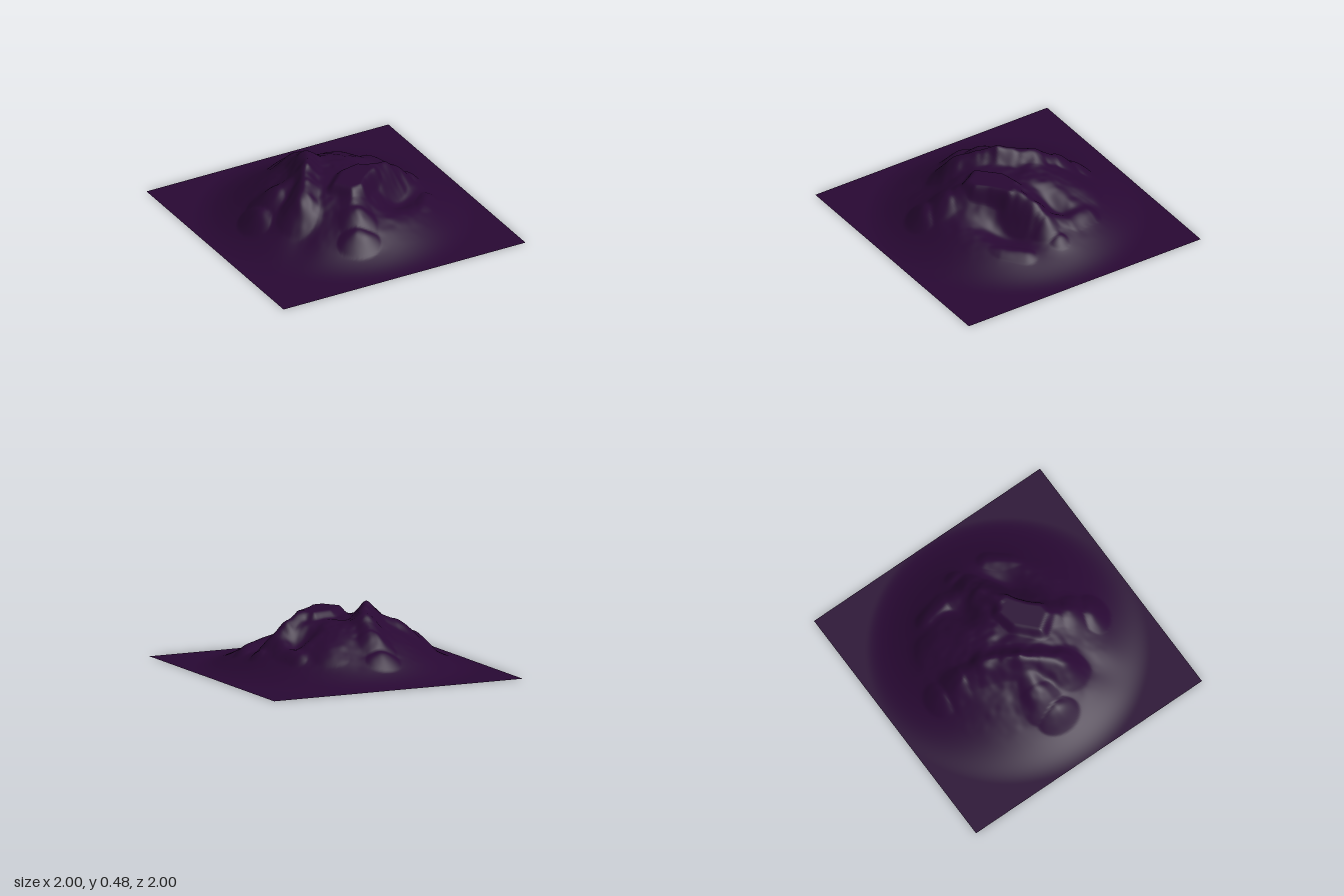
import * as THREE from 'three';

// Crest lines: points are [x, z, height], width is the reach of the flanks
const ridges = [
  { width: 0.25, points: [[-0.36, 0.16, 0.385], [-0.28, 0.06, 0.42], [-0.22, -0.05, 0.45], [-0.13, -0.2, 0.44], [-0.09, -0.27, 0.435], [-0.06, -0.43, 0.335], [-0.05, -0.58, 0.215]] },
  { width: 0.16, points: [[-0.3, 0.06, 0.42], [-0.22, -0.05, 0.485], [-0.16, -0.14, 0.45]] },
  { width: 0.27, points: [[-0.3, -0.05, 0.39], [-0.42, -0.06, 0.345], [-0.58, -0.02, 0.23]] },
  { width: 0.26, points: [[-0.03, 0.27, 0.41], [-0.09, 0.42, 0.335], [-0.15, 0.57, 0.225], [-0.2, 0.7, 0.14]] },
  { width: 0.18, points: [[0.22, 0.1, 0.42], [0.38, 0.03, 0.36], [0.48, 0, 0.285], [0.6, -0.03, 0.18]] },
  { width: 0.32, points: [[0.05, -0.26, 0.345], [0.2, -0.36, 0.285]] },
  { width: 0.18, points: [[0.46, -0.04, 0.27], [0.5, -0.18, 0.215], [0.46, -0.36, 0.2]] },
  { width: 0.2, points: [[0.38, 0.46, 0.15], [0.5, 0.38, 0.155], [0.62, 0.26, 0.145]] },
];

// Gullies: centre x, z, long and short radius, turn, depth
const gullies = [
  [0.35, 0.26, 0.24, 0.13, -0.55, 0.14],
  [0.36, -0.15, 0.16, 0.09, -0.3, 0.08],
  [-0.42, 0.34, 0.2, 0.12, -0.7, 0.03],
];

// Summit shelf outline in x, z
const shelf = [[-0.12, 0.2], [-0.04, 0.3], [0.03, 0.3], [0.1, 0.23], [0.22, 0.14], [0.16, 0.04], [0.02, 0.07]];
const SHELF_HEIGHT = 0.415;

const lerp = THREE.MathUtils.lerp;
const clamp = THREE.MathUtils.clamp;
const smooth = THREE.MathUtils.smoothstep;

// Distance from a point to a segment, and the position along it
function toSegment(x, z, a, b) {
  const dx = b[0] - a[0], dz = b[1] - a[1];
  const t = clamp(((x - a[0]) * dx + (z - a[1]) * dz) / (dx * dx + dz * dz), 0, 1);
  return { d: Math.hypot(x - a[0] - dx * t, z - a[1] - dz * t), t };
}

// Repeatable value noise
function hash(i, j) {
  const s = Math.sin(i * 127.1 + j * 311.7) * 43758.5453;
  return s - Math.floor(s);
}
function noise(x, z) {
  const i = Math.floor(x), j = Math.floor(z);
  const u = smooth(x - i, 0, 1), v = smooth(z - j, 0, 1);
  return lerp(lerp(hash(i, j), hash(i + 1, j), u), lerp(hash(i, j + 1), hash(i + 1, j + 1), u), v) - 0.5;
}

// Signed distance to the shelf outline, negative inside
function shelfDistance(x, z) {
  let d = Infinity, inside = false;
  shelf.forEach((a, i) => {
    const b = shelf[(i + 1) % shelf.length];
    d = Math.min(d, toSegment(x, z, a, b).d);
    if ((a[1] > z) !== (b[1] > z) && x < a[0] + ((z - a[1]) * (b[0] - a[0])) / (b[1] - a[1])) inside = !inside;
  });
  return inside ? -d : d;
}

// Height of one crest with its rounded flanks
function crestHeight(x, z, { points, width }) {
  let top = 0;
  for (let i = 0; i < points.length - 1; i++) {
    const { d, t } = toSegment(x, z, points[i], points[i + 1]);
    top = Math.max(top, lerp(points[i][2], points[i + 1][2], t) * Math.exp(-Math.pow(d / width, 1.8)));
  }
  return top;
}

function heightAt(x, z) {
  // Hill body, level at the border
  const r = Math.hypot(x, z);
  let h = 0.37 * (1 - smooth(r, 0.15, 1.02));

  // Gullies cut into it
  for (const [cx, cz, long, short, turn, depth] of gullies) {
    const c = Math.cos(turn), s = Math.sin(turn);
    const u = ((x - cx) * c + (z - cz) * s) / long;
    const v = ((z - cz) * c - (x - cx) * s) / short;
    h -= depth * Math.exp(-u * u - v * v);
  }
  h = Math.max(h, 0);

  // Crests rise from it with a soft join and die out towards the foot
  const foot = 1 - smooth(r, 0.62, 0.95);
  for (const ridge of ridges) {
    const top = crestHeight(x, z, ridge) * foot;
    const join = Math.max(0.05 - Math.abs(h - top), 0);
    h = Math.max(h, top) + join * join * 4 * smooth(top, 0.05, 0.25);
  }

  // Level shelf with a steep rim
  const edge = 1 - smooth(shelfDistance(x, z), -0.005, 0.07);
  h = lerp(h, clamp(h, SHELF_HEIGHT, SHELF_HEIGHT + 0.005), edge);

  // Weathering on the slopes, fading at the foot and on the shelf
  const rough = noise(x * 9, z * 9) * 0.016 + noise(x * 21 + 5, z * 21) * 0.009;
  return Math.max(0, h + rough * smooth(h, 0.05, 0.35) * (1 - edge));
}

export function createModel() {
  const group = new THREE.Group();
  group.name = 'mountainTerrain';

  // Square sheet raised into the mountain
  const geometry = new THREE.PlaneGeometry(2, 2, 160, 160);
  geometry.rotateX(-Math.PI / 2);
  const position = geometry.attributes.position;
  for (let i = 0; i < position.count; i++) {
    position.setY(i, heightAt(position.getX(i), position.getZ(i)));
  }
  geometry.computeVertexNormals();

  const material = new THREE.MeshStandardMaterial({ color: 0x280833, side: THREE.DoubleSide });
  const terrain = new THREE.Mesh(geometry, material);
  terrain.name = 'mountain';
  group.add(terrain);
  return group;
}
